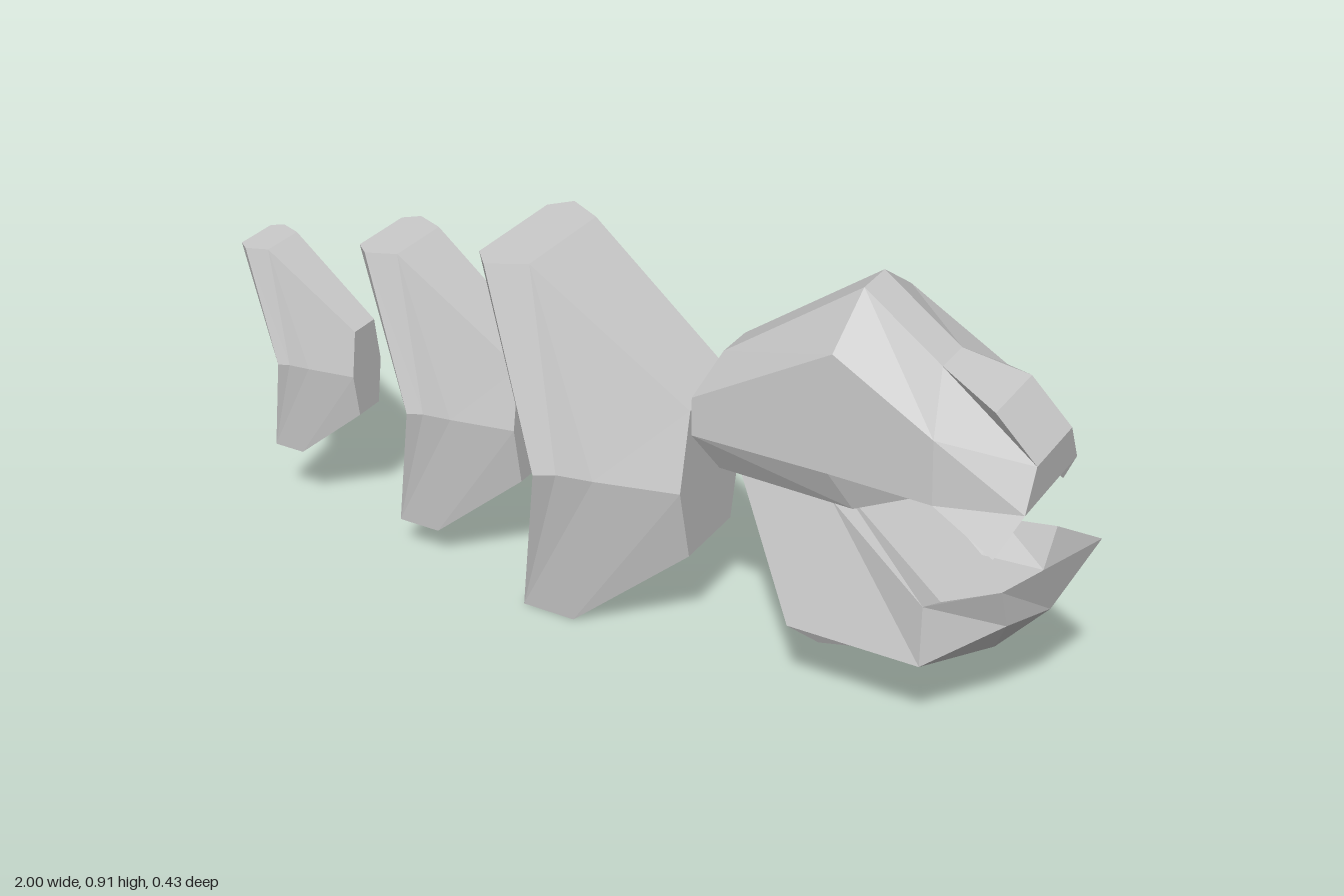
import * as THREE from 'three';

const material = new THREE.MeshStandardMaterial({ color: 0xcccccc, flatShading: true, side: THREE.DoubleSide });

function meshFromTriangles(name, triangles) {
  const geometry = new THREE.BufferGeometry().setFromPoints(triangles);
  geometry.computeVertexNormals();
  const mesh = new THREE.Mesh(geometry, material);
  mesh.name = name;
  return mesh;
}

// Lofts half cross-sections (z >= 0), mirrored to z < 0, and closes both ends in strips.
function loft(name, halves) {
  const rings = halves.map((half) => {
    const side = half.map((p) => new THREE.Vector3(...p));
    const mirrored = half.map(([x, y, z]) => new THREE.Vector3(x, y, -z)).reverse();
    return [...side, ...mirrored];
  });
  const triangles = [];
  const face = new THREE.Triangle();
  const tri = (a, b, c) => {
    if (face.set(a, b, c).getArea() > 1e-7) triangles.push(a, b, c);
  };
  const quad = (a, b, c, d) => { tri(a, b, c); tri(a, c, d); };
  const n = rings[0].length;
  for (let i = 0; i < rings.length - 1; i++) {
    for (let j = 0; j < n; j++) {
      const k = (j + 1) % n;
      quad(rings[i][j], rings[i][k], rings[i + 1][k], rings[i + 1][j]);
    }
  }
  const first = rings[0], last = rings[rings.length - 1];
  for (let j = 0; j < n / 2 - 1; j++) {
    quad(first[n - 1 - j], first[n - 2 - j], first[j + 1], first[j]);
    quad(last[j], last[j + 1], last[n - 2 - j], last[n - 1 - j]);
  }
  return meshFromTriangles(name, triangles);
}

// Chevron-shaped body segment, centred on its rear notch: bottom, middle and top sections.
function createSegment(name) {
  return loft(name, [
    [[-0.085, -0.39, 0.13], [-0.085, -0.39, 0.13], [0.04, -0.39, 0.13], [0.3, -0.17, 0.09]],
    [[0, 0, 0.215], [0.04, 0, 0.19], [0.12, 0, 0.175], [0.3, 0, 0.13]],
    [[-0.17, 0.435, 0.13], [-0.13, 0.435, 0.175], [-0.05, 0.435, 0.13], [0.3, 0.175, 0.09]],
  ]);
}

export function createModel() {
  const model = new THREE.Group();
  model.name = 'segmentedSerpent';

  // Body segments shrink toward the tail.
  const segments = [
    ['frontSegment', -0.15, 1, 1],
    ['middleSegment', -0.523, 0.8, 0.6],
    ['tailSegment', -0.898, 0.6, 0.4],
  ];
  for (const [name, x, size, width] of segments) {
    const segment = createSegment(name);
    segment.position.set(x, 0.39, 0);
    segment.scale.set(size, size, width);
    model.add(segment);
  }

  // Upper head: each section runs crown, shoulder, lower side, palate.
  const head = new THREE.Group();
  head.name = 'head';
  head.add(loft('upperHead', [
    [[0.2, 0.695, 0.045], [0.2, 0.65, 0.175], [0.2, 0.565, 0.175], [0.24, 0.48, 0.13]],
    [[0.5, 0.91, 0.045], [0.5, 0.825, 0.175], [0.5, 0.565, 0.175], [0.54, 0.48, 0.14]],
    [[0.67, 0.785, 0.045], [0.715, 0.7, 0.175], [0.72, 0.56, 0.175], [0.72, 0.565, 0.13]],
    [[0.8, 0.74, 0.087], [0.89, 0.65, 0.087], [0.89, 0.565, 0.13], [0.89, 0.565, 0.1]],
  ]));

  // Fangs hang from the snout's lower edges.
  for (const side of [1, -1]) {
    const corners = [[0.72, 0.56], [0.85, 0.48], [0.89, 0.565]]
      .map(([x, y], i) => new THREE.Vector3(x, y, side * (i === 2 ? 0.13 : 0.175)));
    if (side < 0) corners.reverse();
    head.add(meshFromTriangles(side > 0 ? 'frontFang' : 'backFang', corners));
  }

  // Lower jaw: each section runs mouth floor, rim, lower side, underside.
  head.add(loft('lowerJaw', [
    [[0.29, 0.48, 0.08], [0.29, 0.48, 0.13], [0.43, 0.2, 0.19], [0.48, 0.15, 0.145]],
    [[0.49, 0.48, 0.08], [0.49, 0.48, 0.13], [0.55, 0.2, 0.19], [0.58, 0.15, 0.11]],
    [[0.72, 0.3, 0.1], [0.72, 0.34, 0.19], [0.72, 0.2, 0.19], [0.72, 0.15, 0.05]],
    [[0.86, 0.32, 0.08], [0.86, 0.39, 0.14], [0.86, 0.29, 0.1], [0.82, 0.2, 0.05]],
    [[1, 0.48, 0], [1, 0.48, 0], [0.91, 0.29, 0], [0.91, 0.29, 0]],
  ]));
  model.add(head);

  return model;
}
